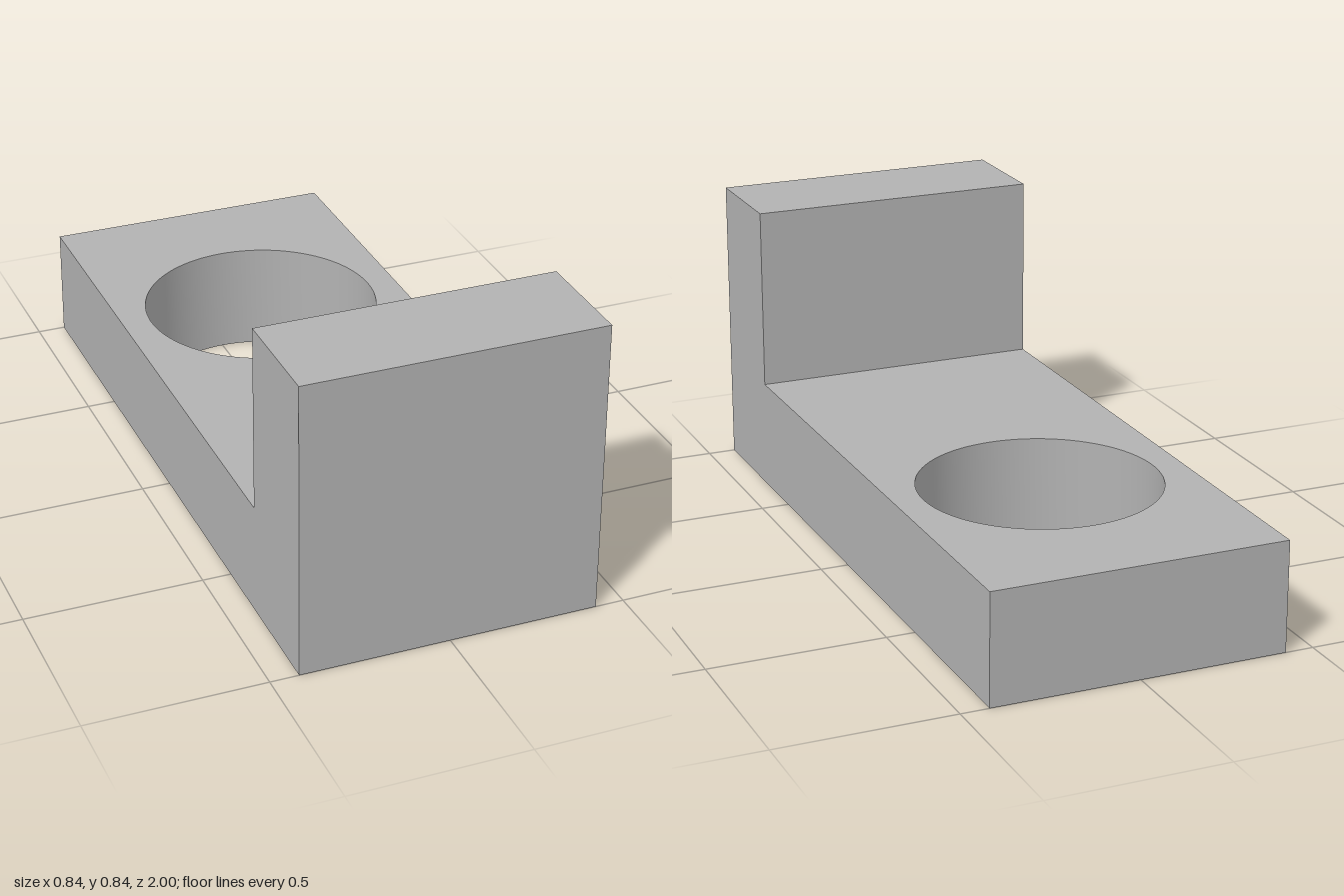
import * as THREE from 'three';
import { toCreasedNormals } from 'three/addons/utils/BufferGeometryUtils.js';

const HALF_WIDTH = 0.42;
const PLATE_HEIGHT = 0.316;
const TOTAL_HEIGHT = 0.842;
const WALL_BACK = 0.684; // z where the upright wall begins
const HOLE_Z = -0.37;
const HOLE_RADIUS = 0.338;

export function createModel() {
  const model = new THREE.Group();
  model.name = 'bracket';

  const grey = new THREE.MeshStandardMaterial({ color: 0xb2b2b2 });
  grey.name = 'grey';

  // Base plate: outline drawn with shape y = -z, then laid flat
  const outline = new THREE.Shape();
  outline.moveTo(-HALF_WIDTH, -1);
  outline.lineTo(HALF_WIDTH, -1);
  outline.lineTo(HALF_WIDTH, 1);
  outline.lineTo(-HALF_WIDTH, 1);
  outline.closePath();

  // Round through hole
  const hole = new THREE.Path();
  hole.absarc(0, -HOLE_Z, HOLE_RADIUS, 0, Math.PI * 2, true);
  outline.holes.push(hole);

  const plateGeometry = new THREE.ExtrudeGeometry(outline, {
    depth: PLATE_HEIGHT,
    bevelEnabled: false,
    curveSegments: 64,
  });
  plateGeometry.rotateX(-Math.PI / 2);
  const plate = new THREE.Mesh(toCreasedNormals(plateGeometry, Math.PI / 6), grey);
  plate.name = 'basePlate';
  model.add(plate);

  // Upright wall standing on the front end of the plate
  const wallHeight = TOTAL_HEIGHT - PLATE_HEIGHT;
  const wall = new THREE.Mesh(
    new THREE.BoxGeometry(HALF_WIDTH * 2, wallHeight, 1 - WALL_BACK),
    grey
  );
  wall.position.set(0, PLATE_HEIGHT + wallHeight / 2, (1 + WALL_BACK) / 2);
  wall.name = 'frontWall';
  model.add(wall);

  return model;
}
